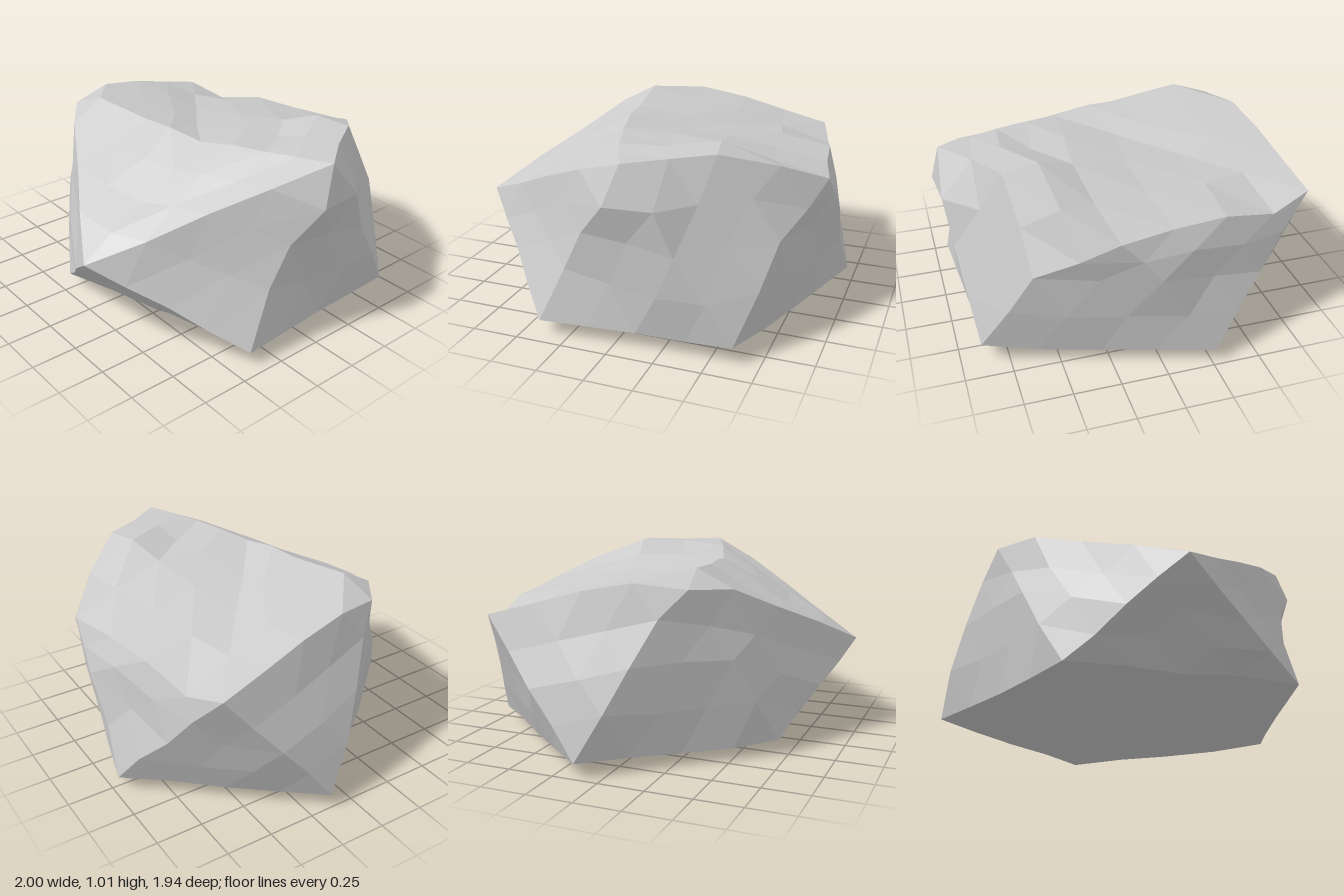
import * as THREE from 'three';

// Boulder: twelve corners joined like an icosahedron, each face split twice by
// midpoints. Midpoints listed in "bends" shape the ridges, the rest get a slight roughness.
const corners = {
  T: [0.28, 0.95, 0.19],                                                  // crown
  N: [0.34, 0.53, 0.97], B: [0.96, 0.99, -0.08], C: [0.23, 0.78, -0.92],  // upper ring
  D: [-0.86, 0.76, -0.68], A: [-0.67, 0.92, 0.34],
  Q: [0.93, 0.08, 0.40], R: [0.89, 0.10, -0.62], S: [-0.27, 0.07, -0.97], // lower ring
  U: [-1, 0.08, -0.13], P: [-0.27, 0.08, 0.70],
  Z: [0.02, 0, -0.1],                                                     // underside
};

// Keys name the two points being halved, e.g. A-T lies between A and T.
const bends = {
  // rim and crown ridges
  'A-N': [-0.19, 0.78, 0.65], 'A-A-N': [-0.45, 0.90, 0.50],
  'A-T': [-0.10, 0.97, 0.25], 'A-A-T': [-0.47, 1.00, 0.31],
  'A-D': [-0.79, 0.90, -0.18], 'A-A-D': [-0.75, 0.95, 0.08],
  'D-T': [-0.29, 0.85, -0.25], 'D-D-T': [-0.58, 0.80, -0.47],
  'C-D': [-0.35, 0.77, -0.81], 'C-D-D': [-0.64, 0.70, -0.75],
  'C-T': [0.32, 0.94, -0.37], 'B-C-C-T': [0.51, 1.01, -0.43],
  'B-C': [0.70, 1.00, -0.47], 'B-C-C': [0.47, 0.90, -0.72],
  // side ridges
  'B-Q': [0.92, 0.60, 0.15], 'B-B-Q': [1.00, 0.78, 0], 'B-Q-Q': [0.90, 0.38, 0.26],
  'B-R': [0.95, 0.55, -0.34], 'B-B-R': [0.98, 0.78, -0.25], 'B-R-R': [0.92, 0.32, -0.49],
  'C-R': [0.63, 0.57, -0.77], 'C-S': [0.03, 0.55, -0.95], 'C-S-S': [-0.12, 0.30, -0.94],
  'A-U': [-0.86, 0.55, 0.11], 'A-A-U': [-0.76, 0.78, 0.22],
  'D-U': [-0.95, 0.42, -0.40], 'A-P': [-0.50, 0.55, 0.52],
  // bottom edge
  'P-Q': [0.34, 0.08, 0.53], 'P-Q-Q': [0.60, 0.11, 0.45],
};

// Small seeded random numbers in -1..1
function makeNoise(seed) {
  return () => {
    seed = (seed * 16807) % 2147483647;
    return (seed / 2147483647) * 2 - 1;
  };
}

function buildBoulder() {
  const noise = makeNoise(41);
  const points = new Map();
  for (const name in corners) points.set(name, new THREE.Vector3(...corners[name]));

  function middle(a, b) {
    const name = [a, b].sort().join('-');
    if (!points.has(name)) {
      const p = points.get(a).clone().lerp(points.get(b), 0.5);
      if (bends[name]) {
        p.fromArray(bends[name]);
      } else {
        const amount = 0.045 * Math.min(0.3, points.get(a).distanceTo(points.get(b)));
        p.add(new THREE.Vector3(noise(), noise(), noise()).multiplyScalar(amount));
      }
      p.y = Math.max(0, p.y);
      points.set(name, p);
    }
    return name;
  }

  // Crown fan, side band and underside fan
  const upper = ['N', 'B', 'C', 'D', 'A'];
  const lower = ['Q', 'R', 'S', 'U', 'P'];
  let faces = [];
  for (let i = 0; i < 5; i++) {
    const j = (i + 1) % 5;
    faces.push(
      ['T', upper[i], upper[j]],
      [upper[i], lower[i], upper[j]],
      [upper[j], lower[i], lower[j]],
      ['Z', lower[j], lower[i]],
    );
  }

  // Two rounds of splitting
  for (let round = 0; round < 2; round++) {
    faces = faces.flatMap(([a, b, c]) => {
      const ab = middle(a, b), bc = middle(b, c), ca = middle(c, a);
      return [[a, ab, ca], [ab, b, bc], [ca, bc, c], [ab, bc, ca]];
    });
  }

  const geometry = new THREE.BufferGeometry().setFromPoints(
    faces.flat().map((name) => points.get(name)),
  );
  geometry.computeVertexNormals();
  return geometry;
}

export function createModel() {
  const group = new THREE.Group();
  group.name = 'rock';
  const material = new THREE.MeshStandardMaterial({ color: 0xcccccc, flatShading: true });
  const boulder = new THREE.Mesh(buildBoulder(), material);
  boulder.name = 'boulder';
  group.add(boulder);
  return group;
}
